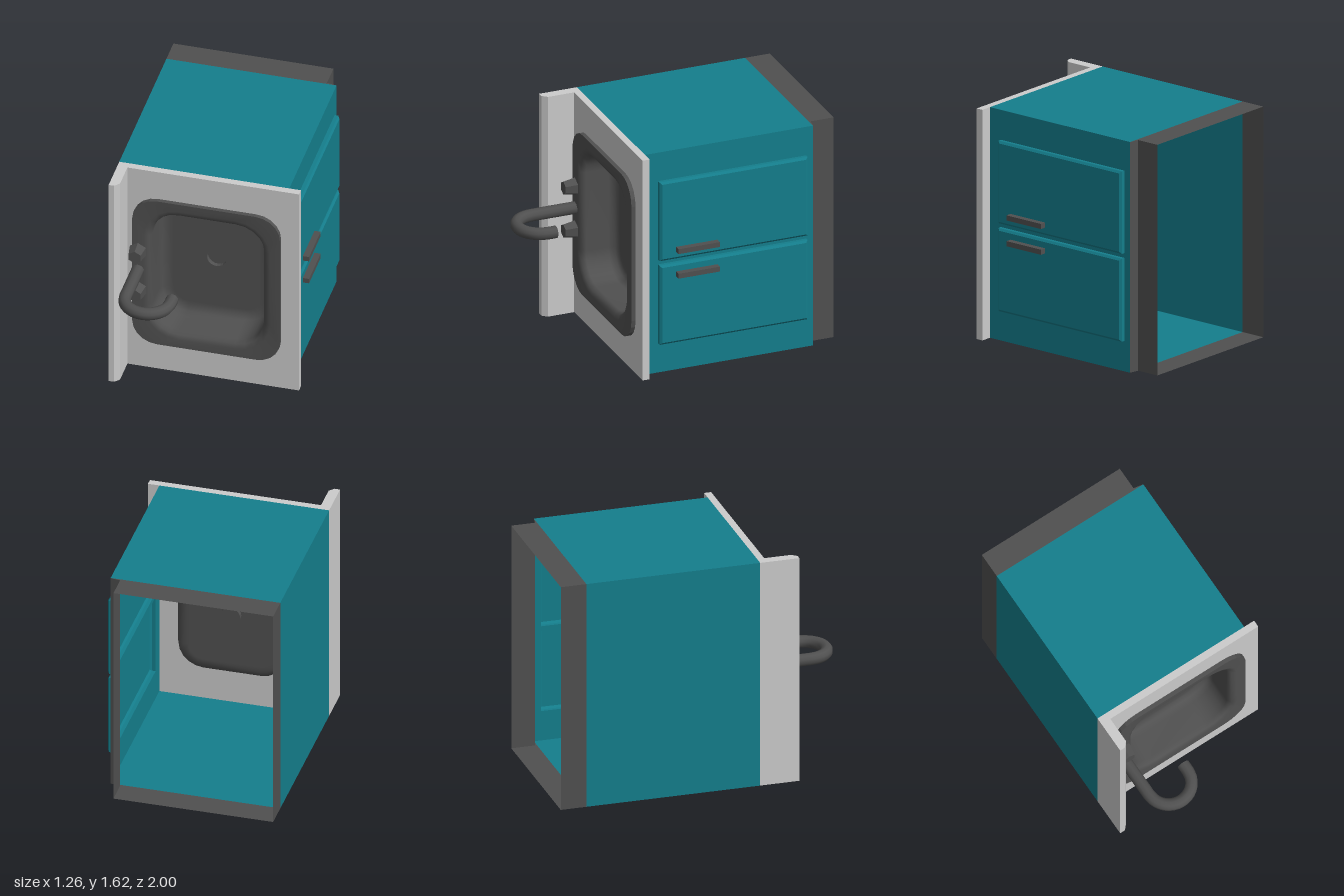
import * as THREE from 'three';

const material = (color, flatShading = true) =>
  new THREE.MeshStandardMaterial({ color, flatShading, side: THREE.DoubleSide });
const grey = material(0xcccccc);
const teal = material(0x147e8c);
const dark = material(0x505050);
const darkSmooth = material(0x505050, false);

const H = 1.62; // full height
const MID = H / 2;

function part(parent, name, geometry, mat, x = 0, y = 0, z = 0) {
  const mesh = new THREE.Mesh(geometry, mat);
  mesh.name = name;
  mesh.position.set(x, y, z);
  parent.add(mesh);
  return mesh;
}

// Skin between loops of equal point count; loops run counter-clockwise seen from +z.
function loft(loops, closed = true) {
  const n = loops[0].length;
  const index = [];
  for (let r = 0; r < loops.length - 1; r++) {
    for (let i = 0; i < (closed ? n : n - 1); i++) {
      const j = (i + 1) % n;
      const a = r * n + i, b = r * n + j;
      index.push(a, b, b + n, a, b + n, a + n);
    }
  }
  const g = new THREE.BufferGeometry();
  g.setAttribute('position', new THREE.Float32BufferAttribute(loops.flat(2), 3));
  g.setIndex(index);
  g.computeVertexNormals();
  return g;
}

const rectLoop = (x0, x1, y0, y1, z) => [[x1, y0, z], [x1, y1, z], [x0, y1, z], [x0, y0, z]];

// Rounded rectangle loop with half sizes hw, hh and corner radius r
function roundLoop(cx, hw, hh, r, z, seg = 5) {
  const pts = [];
  for (let c = 0; c < 4; c++) {
    const sx = c === 0 || c === 3 ? 1 : -1;
    const sy = c < 2 ? 1 : -1;
    for (let k = 0; k <= seg; k++) {
      const a = (c + k / seg) * Math.PI / 2;
      pts.push([cx + sx * (hw - r) + r * Math.cos(a), MID + sy * (hh - r) + r * Math.sin(a), z]);
    }
  }
  return pts;
}

const toPath = (loop, PathType) =>
  new PathType(loop.map(([x, y]) => new THREE.Vector2(x, y)));

function addCabinet(model) {
  const cabinet = new THREE.Group();
  cabinet.name = 'cabinet';
  model.add(cabinet);

  // Three plain walls of the open shell
  const walls = z => [[0.55, H, z], [-0.63, H, z], [-0.63, 0, z], [0.55, 0, z]];
  part(cabinet, 'cabinetWalls', loft([walls(-0.82), walls(0.4)], false), teal);

  // Recessed plinth with its step
  part(cabinet, 'plinth', loft([
    rectLoop(-0.63, 0.48, 0, H, -1),
    rectLoop(-0.63, 0.48, 0, H, -0.833),
    rectLoop(-0.63, 0.55, 0, H, -0.82),
  ]), dark);

  // Door side, drawn facing +z and turned to face +x
  const doorSide = new THREE.Group();
  doorSide.name = 'doorSide';
  doorSide.rotation.y = Math.PI / 2;
  doorSide.position.x = 0.55;
  cabinet.add(doorSide);

  const wall = toPath(rectLoop(-0.4, 0.82, 0, H, 0), THREE.Shape);
  for (const [name, y0, y1, handleY] of [['left', 0.83, 1.41, 0.903], ['right', 0.213, 0.797, 0.722]]) {
    wall.holes.push(toPath(rectLoop(-0.305, 0.77, y0, y1, 0), THREE.Path));
    const ring = (d, z) => rectLoop(-0.305 + d, 0.77 - d, y0 + d, y1 - d, z);
    const mid = (y0 + y1) / 2;
    part(doorSide, name + 'Door', loft([
      ring(0, 0), ring(0, 0.025), ring(0.015, 0.037), rectLoop(0.23, 0.23, mid, mid, 0.037),
    ]), teal);
    part(doorSide, name + 'Handle', new THREE.BoxGeometry(0.3, 0.036, 0.043), dark, -0.04, handleY, 0.0585);
  }
  part(doorSide, 'doorWall', new THREE.ShapeGeometry(wall), teal);
}

function addCountertop(model) {
  // Slab with the basin cut-out
  const slab = toPath(rectLoop(-0.63, 0.63, 0, H, 0), THREE.Shape);
  slab.holes.push(toPath(roundLoop(-0.003, 0.405, 0.495, 0.19, 0), THREE.Path));
  part(model, 'countertop', new THREE.ExtrudeGeometry(slab, { depth: 0.05, bevelEnabled: false }), grey, 0, 0, 0.4);

  // Chamfered upstand: profile in x and -z, extruded along y
  const profile = new THREE.Shape(
    [[-0.63, -0.45], [-0.63, -0.675], [-0.592, -0.675], [-0.56, -0.64], [-0.56, -0.45]]
      .map(p => new THREE.Vector2(...p)));
  const upstand = new THREE.ExtrudeGeometry(profile, { depth: H, bevelEnabled: false });
  upstand.rotateX(-Math.PI / 2);
  part(model, 'upstand', upstand, grey);
}

function addBasin(model) {
  const basin = new THREE.Group();
  basin.name = 'basin';
  model.add(basin);

  const rim = z => roundLoop(-0.0065, 0.5125, 0.59, 0.17, z);
  const bowl = (d, z) => roundLoop(-0.003, 0.388 + d, 0.478 + d, 0.19 + d, z);
  const drain = (r, z) => roundLoop(-0.005, r, r, r, z);
  part(basin, 'basinEdge', loft([rim(0.45), rim(0.48)]), dark);
  part(basin, 'basinBowl', loft([
    rim(0.48), bowl(0.05, 0.478), bowl(0.016, 0.467), bowl(0, 0.435), bowl(0, 0.27),
    bowl(-0.015, 0.228), bowl(-0.055, 0.21), bowl(-0.09, 0.21), drain(0.068, 0.21),
  ]), darkSmooth);
  part(basin, 'drain', loft([drain(0.068, 0.21), drain(0.068, 0.18), drain(0, 0.18)]), dark);
}

function addTap(model) {
  const tap = new THREE.Group();
  tap.name = 'tap';
  model.add(tap);

  // Hooked spout
  const path = [];
  for (const z of [0.46, 0.6, 0.7, 0.76]) path.push(new THREE.Vector3(-0.48, MID, z));
  for (let i = 0; i <= 8; i++) {
    const a = Math.PI * (1 - i / 8);
    path.push(new THREE.Vector3(-0.325 + 0.155 * Math.cos(a), MID, 0.8 + 0.155 * Math.sin(a)));
  }
  path.push(new THREE.Vector3(-0.17, MID, 0.745));
  part(tap, 'spout', new THREE.TubeGeometry(new THREE.CatmullRomCurve3(path), 32, 0.043, 10), darkSmooth);
  const tip = part(tap, 'spoutTip', new THREE.CircleGeometry(0.043, 10), dark, -0.17, MID, 0.745);
  tip.rotation.y = Math.PI;

  // Hexagonal knobs either side of the spout
  for (const side of [-1, 1]) {
    const knob = new THREE.CylinderGeometry(0.048, 0.064, 0.085, 6);
    knob.rotateX(Math.PI / 2);
    part(tap, side > 0 ? 'leftKnob' : 'rightKnob', knob, dark, -0.48, MID + side * 0.158, 0.52);
  }
}

export function createModel() {
  const model = new THREE.Group();
  model.name = 'sinkCabinet';
  addCabinet(model);
  addCountertop(model);
  addBasin(model);
  addTap(model);
  return model;
}
